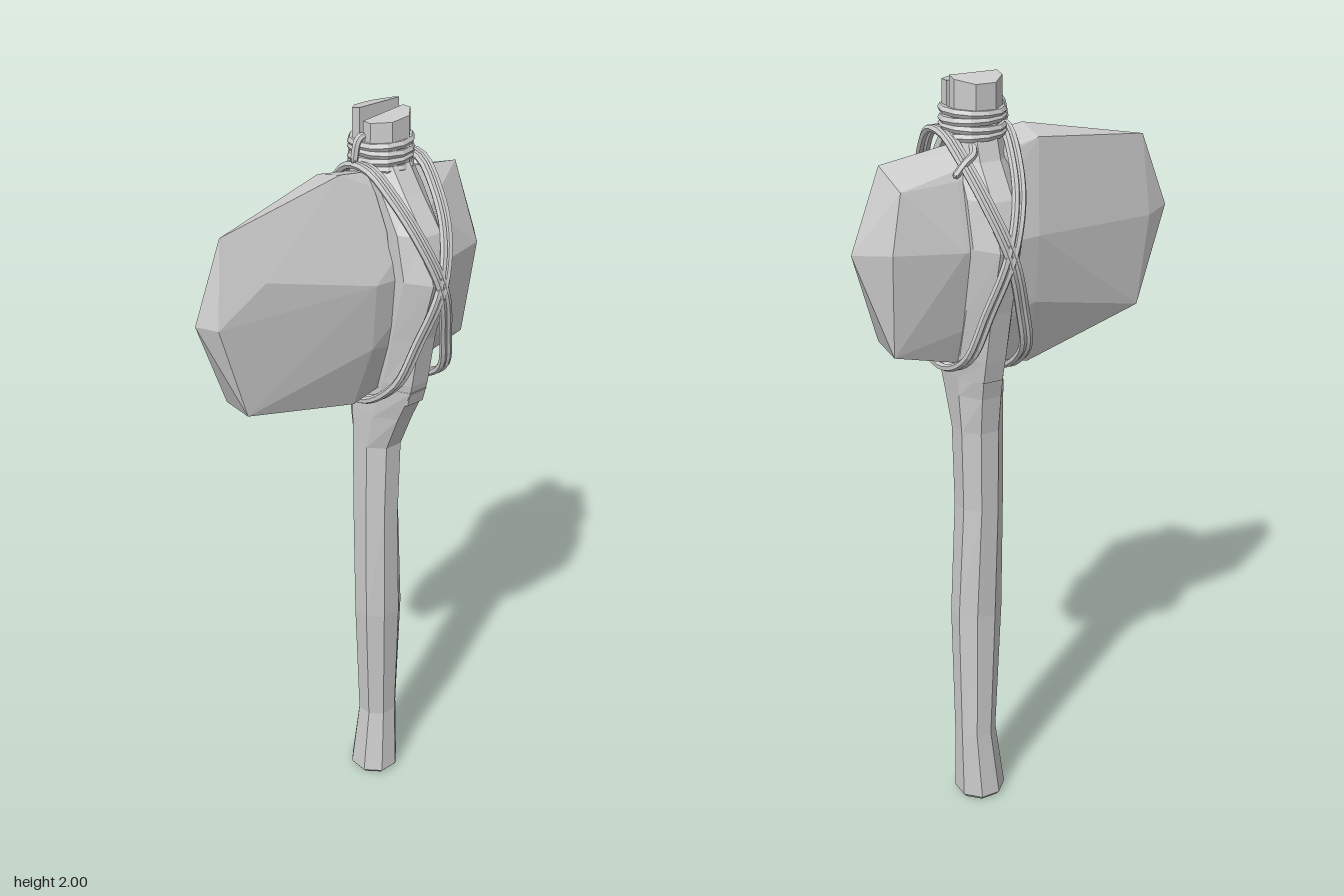
import * as THREE from 'three';
import { ConvexGeometry } from 'three/addons/geometries/ConvexGeometry.js';

const material = new THREE.MeshStandardMaterial({ color: 0xcccccc, flatShading: true });
const V = (x, y, z) => new THREE.Vector3(x, y, z);
const CZ = -0.123; // depth of the handle axis

function addMesh(group, name, geometry) {
  const mesh = new THREE.Mesh(geometry, material);
  mesh.name = name;
  group.add(mesh);
  return mesh;
}

// Skin a stack of equal-length rings from bottom to top, with both ends capped
function loft(rings) {
  const n = rings[0].length;
  const out = [];
  const tri = (...points) => points.forEach((p) => out.push(p.x, p.y, p.z));
  for (let i = 0; i < rings.length - 1; i++) {
    for (let j = 0; j < n; j++) {
      const k = (j + 1) % n;
      const [a, b, c, d] = [rings[i][j], rings[i][k], rings[i + 1][j], rings[i + 1][k]];
      tri(a, c, b);
      tri(b, c, d);
    }
  }
  const first = rings[0], last = rings[rings.length - 1];
  for (let j = 1; j < n - 1; j++) {
    tri(first[0], first[j], first[j + 1]);
    tri(last[0], last[j + 1], last[j]);
  }
  const geometry = new THREE.BufferGeometry();
  geometry.setAttribute('position', new THREE.Float32BufferAttribute(out, 3));
  geometry.computeVertexNormals();
  return geometry;
}

// Octagonal handle, slightly crooked, flaring below the stone
function buildHandle() {
  const sections = [ // y, centre x, centre z, half width, half depth
    [0, -0.015, -0.122, 0.06, 0.06],
    [0.012, -0.015, -0.122, 0.07, 0.069],
    [0.21, -0.018, -0.135, 0.054, 0.056],
    [0.58, -0.006, -0.121, 0.06, 0.069],
    [0.9, -0.01, -0.112, 0.065, 0.062],
    [1.12, -0.013, -0.115, 0.07, 0.064],
    [1.22, -0.002, -0.118, 0.1, 0.068],
    [1.31, 0.006, CZ, 0.135, 0.07],
  ];
  return loft(sections.map(([y, cx, cz, rx, rz]) =>
    Array.from({ length: 8 }, (_, j) => {
      const a = (j + 0.5) * Math.PI / 4;
      return V(cx + rx * Math.cos(a), y, cz + rz * Math.sin(a));
    })));
}

// One half of the split upper handle, bowed around the stone
function buildProng(side) {
  const sections = [ // y, inner x, outer x, half depth, centre x
    [1.27, 0, 0.115, 0.068, 0.004],
    [1.33, 0.02, 0.13, 0.07, 0.004],
    [1.46, 0.06, 0.155, 0.07, 0],
    [1.62, 0.095, 0.198, 0.07, 0],
    [1.73, 0.075, 0.162, 0.07, 0],
    [1.81, 0.04, 0.1, 0.07, -0.005],
    [1.87, 0.006, 0.068, 0.069, -0.018],
    [1.985, 0.007, 0.067, 0.067, -0.02],
  ];
  const rings = sections.map(([y, xi, xo, r, cx], i) => {
    const mid = xi + 0.41 * (xo - xi);
    const outline = [[xi, -0.92], [mid, -0.92], [xo, -0.38], [xo, 0.38], [mid, 0.92], [xi, 0.92]];
    const top = i === sections.length - 1;
    const ring = outline.map(([x, z]) => {
      // roughly broken, tilted top
      const tilt = top ? (side < 0 ? 0.013 - 0.25 * (x - xi) : -0.008 - 0.007 * z) : 0;
      return V(cx + side * x, y + tilt, CZ + z * r);
    });
    return side < 0 ? ring.reverse() : ring;
  });
  return loft(rings);
}

// Faceted stone: cutting edge at the front, blunt point at the back
function buildStone() {
  return new ConvexGeometry([
    // front edge
    V(-0.01, 1.61, 0.437), V(-0.01, 1.8, 0.36), V(-0.045, 1.37, 0.335), V(0.03, 1.36, 0.33),
    V(-0.045, 1.6, 0.365), V(0.027, 1.6, 0.4), V(0.05, 1.69, 0.28),
    // broad middle
    V(-0.08, 1.845, 0.02), V(0, 1.865, 0.02), V(0.108, 1.62, 0.0), V(-0.118, 1.62, 0.0),
    V(0.05, 1.29, 0.02), V(-0.03, 1.27, 0.02), V(0.095, 1.45, 0.0), V(-0.1, 1.45, 0.0),
    // behind the handle
    V(0.102, 1.61, -0.2), V(-0.125, 1.61, -0.2), V(0.07, 1.75, -0.2), V(-0.09, 1.77, -0.2),
    V(0.02, 1.315, -0.2), V(-0.05, 1.315, -0.2),
    // blunt back
    V(-0.01, 1.81, -0.36), V(-0.08, 1.76, -0.34), V(0.072, 1.62, -0.365), V(-0.092, 1.62, -0.37),
    V(0.04, 1.37, -0.355), V(-0.06, 1.36, -0.36), V(-0.01, 1.61, -0.437),
  ]);
}

const cord = (points, closed, radius = 0.0095, steps = 64) =>
  new THREE.TubeGeometry(new THREE.CatmullRomCurve3(points, closed), steps, radius, 6, closed);

// Diagonal loop: over the top on one face, round the prongs, under the stone on the other
function bindingPoints(face, shift) {
  const half = [ // x, y, z offset
    [0.035, 1.868, 0.078], [0.095, 1.82, 0.067], [0.163, 1.73, 0.042], [0.2, 1.61, 0],
    [0.172, 1.47, -0.045], [0.13, 1.35, -0.077],
  ];
  const place = (side) => ([x, y, z]) => V(side * x, y, CZ + face * z + shift);
  const bottom = V(0, face > 0 ? 1.295 : 1.268, CZ - face * 0.083 + shift);
  return [...half.map(place(1)), bottom, ...half.map(place(-1)).reverse()];
}

// Cord ends with caps on the loose tips
function looseEnd(points) {
  const group = new THREE.Group();
  addMesh(group, 'cordStrand', cord(points, false, 0.0095, 16));
  const tip = addMesh(group, 'cordTip', new THREE.IcosahedronGeometry(0.0098, 0));
  tip.position.copy(points[points.length - 1]);
  return group;
}

export function createModel() {
  const model = new THREE.Group();
  model.name = 'stoneAxe';
  addMesh(model, 'handle', buildHandle());
  addMesh(model, 'leftProng', buildProng(1));
  addMesh(model, 'rightProng', buildProng(-1));
  addMesh(model, 'stoneHead', buildStone());

  // Crossed bindings, doubled strands
  for (const face of [1, -1]) {
    for (const shift of [-0.008, 0.009]) {
      addMesh(model, 'crossBinding', cord(bindingPoints(face, shift), true));
    }
  }

  // Coils tightening the neck above the stone
  for (let i = 0; i < 4; i++) {
    const coil = addMesh(model, 'neckCoil', new THREE.TorusGeometry(0.07, 0.0105, 6, 12));
    coil.rotation.set(Math.PI / 2 + (i % 2 ? 0.03 : -0.03), i % 2 ? 0.03 : -0.02, 0);
    coil.position.set(-0.02, 1.862 + i * 0.018, CZ);
  }

  // Loose ends at the neck and beside the stone
  const neckEnd = looseEnd([V(-0.015, 1.9, -0.065), V(-0.013, 1.935, -0.06), V(-0.013, 1.928, -0.045), V(-0.013, 1.885, -0.034)]);
  neckEnd.name = 'neckCordEnd';
  const sideEnd = looseEnd([V(-0.06, 1.86, -0.15), V(-0.1, 1.83, -0.165), V(-0.108, 1.815, -0.19), V(-0.106, 1.79, -0.212)]);
  sideEnd.name = 'sideCordEnd';
  model.add(neckEnd, sideEnd);
  return model;
}
